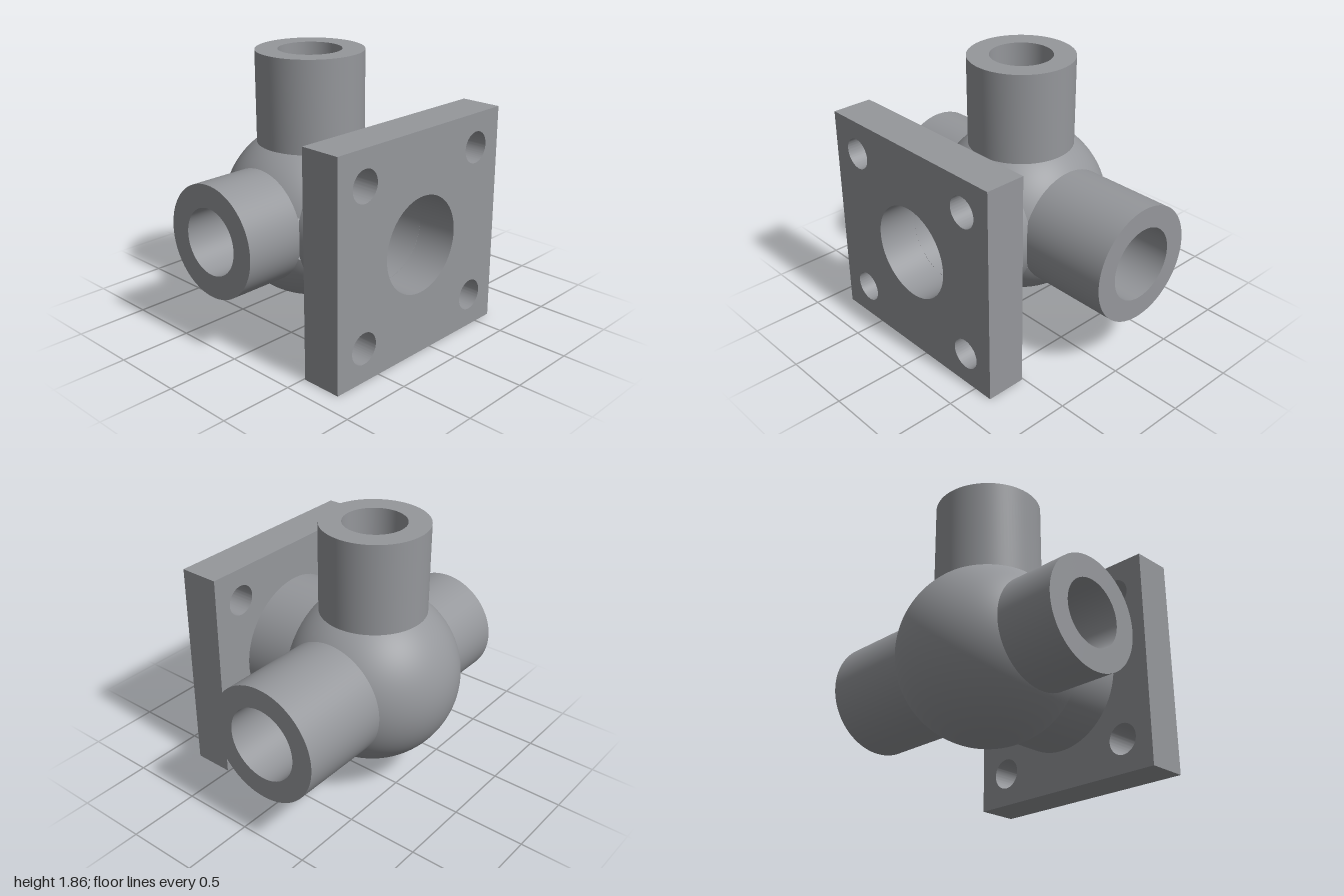
import * as THREE from 'three';
import { toCreasedNormals } from 'three/addons/utils/BufferGeometryUtils.js';

const CENTER = new THREE.Vector3(-0.11, 0.757, -0.19);
const OUTER_R = 0.603, CAVITY_R = 0.453;

// Each pipe leaves the ball along its axis: outer radius, bore radius, distance from ball centre to its end
const PIPES = [
  { name: 'rightPipe', axis: [1, 0, 0], outer: 0.402, bore: 0.253, end: 1.11 },
  { name: 'leftPipe', axis: [-1, 0, 0], outer: 0.38, bore: 0.225, end: 0.89 },
  { name: 'topPipe', axis: [0, 1, 0], outer: 0.362, bore: 0.212, end: 1.103 },
  { name: 'flangeNeck', axis: [0, 0, 1], outer: 0.48, bore: 0.325, end: 0.7 },
].map((p) => ({ ...p, axis: new THREE.Vector3(...p.axis) }));

// Sphere skin with a round opening at every pipe
function openSphere(radius, key, inward) {
  const geo = new THREE.SphereGeometry(radius, 128, 96);
  const pos = geo.attributes.position, idx = geo.index.array;
  const v = new THREE.Vector3();
  const holeOf = [];
  for (let i = 0; i < pos.count; i++) {
    v.fromBufferAttribute(pos, i);
    const pipe = PIPES.find((p) => {
      const along = v.dot(p.axis);
      return along > 0 && radius * radius - along * along < p[key] ** 2;
    });
    holeOf.push(pipe);
    if (!pipe) continue;
    // pull the vertex out to the rim of the opening
    const side = v.addScaledVector(pipe.axis, -v.dot(pipe.axis));
    if (side.length() > 1e-5) {
      side.setLength(pipe[key]).addScaledVector(pipe.axis, Math.sqrt(radius ** 2 - pipe[key] ** 2));
      pos.setXYZ(i, side.x, side.y, side.z);
    }
  }
  const kept = [];
  for (let t = 0; t < idx.length; t += 3) {
    const [a, b, c] = [idx[t], idx[t + 1], idx[t + 2]];
    if (holeOf[a] && holeOf[b] && holeOf[c]) continue;
    kept.push(a, ...(inward ? [c, b] : [b, c]));
  }
  geo.setIndex(kept);
  for (let i = 0; i < pos.count; i++) {
    v.fromBufferAttribute(pos, i).setLength(inward ? -1 : 1);
    geo.attributes.normal.setXYZ(i, v.x, v.y, v.z);
  }
  return geo;
}

// Pipe wall: outside, end ring, and bore running back to the cavity
function pipeGeometry({ outer, bore, end }) {
  const profile = [
    [outer, Math.sqrt(OUTER_R ** 2 - outer ** 2) - 0.003],
    [outer, end],
    [bore, end],
    [bore, Math.sqrt(CAVITY_R ** 2 - bore ** 2)],
  ].map(([x, y]) => new THREE.Vector2(x, y));
  return toCreasedNormals(new THREE.LatheGeometry(profile, 96), 0.6);
}

// Square flange with centre bore and four bolt holes
function flangeGeometry() {
  const h = 0.752;
  const shape = new THREE.Shape();
  shape.moveTo(-h, -h).lineTo(h, -h).lineTo(h, h).lineTo(-h, h).closePath();
  const hole = (x, y, r) => shape.holes.push(new THREE.Path().absarc(x, y, r, 0, Math.PI * 2, true));
  hole(0, 0, 0.325);
  for (const x of [-0.522, 0.522]) for (const y of [-0.522, 0.522]) hole(x, y, 0.106);
  const geo = new THREE.ExtrudeGeometry(shape, { depth: 0.28, bevelEnabled: false, curveSegments: 48 });
  return toCreasedNormals(geo, 0.6);
}

export function createModel() {
  const group = new THREE.Group();
  group.name = 'pipeFitting';
  const metal = new THREE.MeshStandardMaterial({ color: 0x95979b });
  metal.name = 'grey metal';

  const add = (name, geo) => {
    const mesh = new THREE.Mesh(geo, metal);
    mesh.name = name;
    mesh.position.copy(CENTER);
    group.add(mesh);
    return mesh;
  };

  add('ballBody', openSphere(OUTER_R, 'outer', false));
  add('ballCavity', openSphere(CAVITY_R, 'bore', true));

  const up = new THREE.Vector3(0, 1, 0);
  for (const pipe of PIPES) {
    add(pipe.name, pipeGeometry(pipe)).quaternion.setFromUnitVectors(up, pipe.axis);
  }

  add('flange', flangeGeometry()).position.set(CENTER.x, 0.755, 0.51);
  return group;
}
